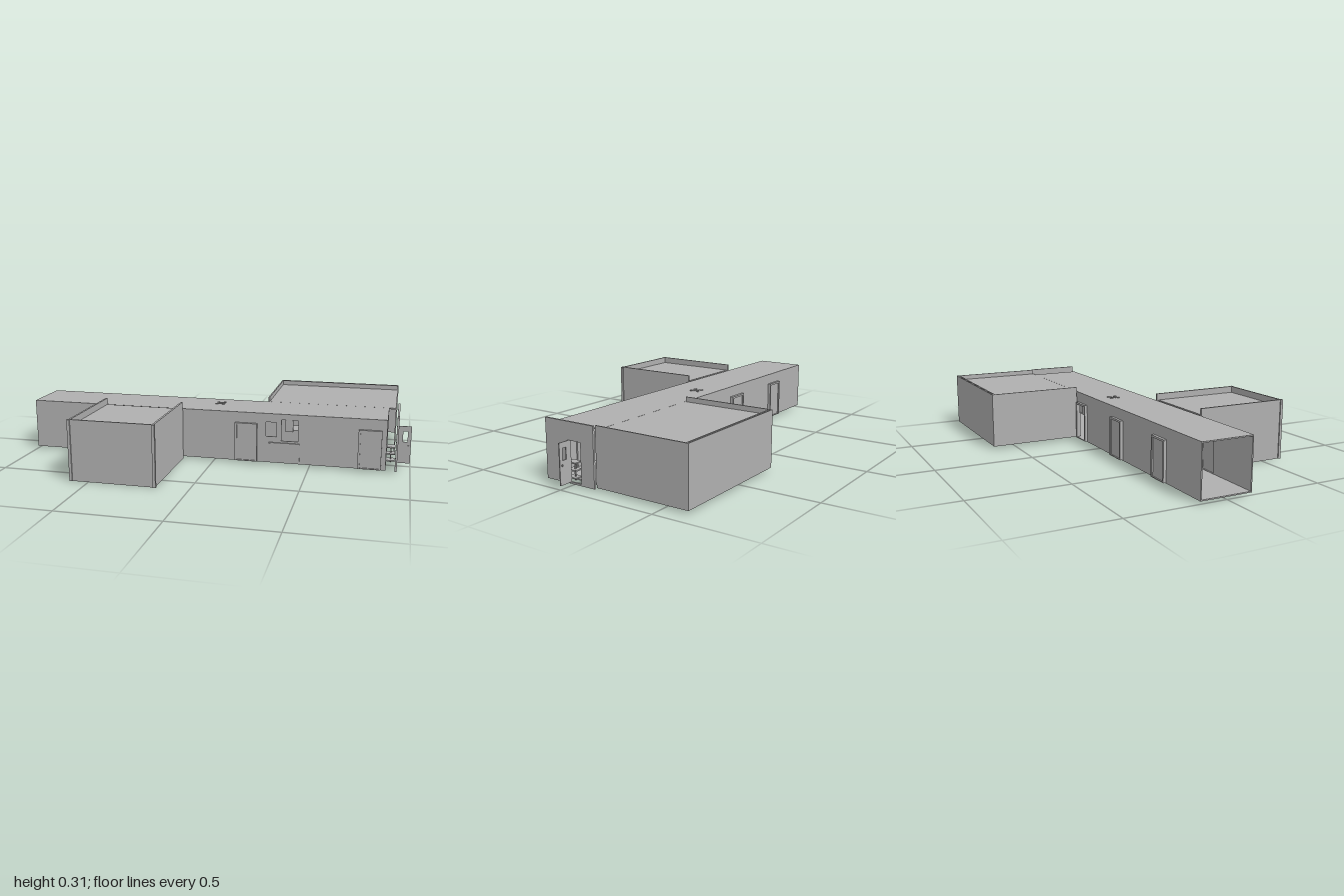
import * as THREE from 'three';

export function createModel() {
  const model = new THREE.Group();
  const grey = new THREE.MeshStandardMaterial({ color: 0xb0b0b0 });
  grey.name = 'plain grey';

  // Box given by its minimum and maximum on each axis
  function box(name, x0, x1, y0, y1, z0, z1) {
    const mesh = new THREE.Mesh(new THREE.BoxGeometry(x1 - x0, y1 - y0, z1 - z0), grey);
    mesh.position.set((x0 + x1) / 2, (y0 + y1) / 2, (z0 + z1) / 2);
    mesh.name = name;
    model.add(mesh);
    return mesh;
  }

  // Upright wall with rectangular openings [x0, x1, y0, y1]
  function wall(name, x0, x1, y0, y1, thickness, openings) {
    const rect = (Type, a, b, c, d) => {
      const p = new Type();
      p.moveTo(a, c);
      p.lineTo(b, c);
      p.lineTo(b, d);
      p.lineTo(a, d);
      p.closePath();
      return p;
    };
    const shape = rect(THREE.Shape, x0, x1, y0, y1);
    openings.forEach((o) => shape.holes.push(rect(THREE.Path, ...o)));
    const geometry = new THREE.ExtrudeGeometry(shape, { depth: thickness, bevelEnabled: false });
    const mesh = new THREE.Mesh(geometry, grey);
    mesh.name = name;
    model.add(mesh);
    return mesh;
  }

  const doorHole = (x) => [x + 0.01, x + 0.105, 0.02, 0.205];

  // Corridor: floor, roof and two long walls, open at both ends
  box('corridorFloor', -1, 0.88, 0.012, 0.018, -0.135, 0.13);
  box('corridorRoof', -1, 0.88, 0.264, 0.27, -0.135, 0.13);
  const frontDoors = [-0.72, -0.3, 0.115, 0.742];
  const backDoors = [-0.72, -0.3, 0.115];
  wall('corridorFrontWall', -1, 0.88, 0.012, 0.27, 0.006, [
    ...frontDoors.map(doorHole),
    [0.275, 0.33, 0.15, 0.225],
    [0.355, 0.44, 0.13, 0.24],
  ]).position.z = 0.124;
  wall('corridorBackWall', -1, 0.88, 0.012, 0.27, 0.006, [
    ...backDoors.map(doorHole),
    [0.34, 0.57, 0.12, 0.22],
    [0.6, 0.83, 0.12, 0.22],
  ]).position.z = -0.135;

  // Door surrounds, with leaves in the closed doorways
  function door(x, z0, z1, closed) {
    box('doorPost', x, x + 0.01, 0.015, 0.215, z0, z1);
    box('doorPost', x + 0.105, x + 0.115, 0.015, 0.215, z0, z1);
    box('doorHead', x + 0.01, x + 0.105, 0.205, 0.215, z0, z1);
    box('doorSill', x + 0.01, x + 0.105, 0.015, 0.02, z0, z1);
    if (closed) {
      const middle = (z0 + z1) / 2;
      box('doorLeaf', x + 0.01, x + 0.105, 0.02, 0.205, middle - 0.004, middle + 0.004);
    }
  }
  frontDoors.forEach((x) => door(x, 0.125, 0.145, x !== -0.3));
  backDoors.forEach((x) => door(x, -0.15, -0.13, x !== 0.115));

  // Service window details on the front wall
  box('serviceWindowApron', 0.3, 0.45, 0.018, 0.118, 0.13, 0.134);
  box('serviceWindowShelf', 0.29, 0.45, 0.115, 0.12, 0.115, 0.138);
  box('windowBlock', 0.375, 0.415, 0.18, 0.24, 0.124, 0.132);

  // Front room: floor and sunken roof, with walls rising past it
  box('frontRoomFloor', -0.59, -0.165, 0, 0.008, 0.14, 0.61);
  box('frontRoomRoof', -0.585, -0.17, 0.266, 0.272, 0.14, 0.605);
  box('frontRoomFrontWall', -0.59, -0.165, 0, 0.305, 0.602, 0.61);
  box('frontRoomRightWall', -0.59, -0.58, 0, 0.305, 0.132, 0.61);
  box('frontRoomLeftWall', -0.175, -0.165, 0, 0.305, 0.132, 0.61);
  for (const x of [-0.588, -0.167]) {
    box('frontRoomCornerPost', x - 0.007, x + 0.007, 0, 0.305, 0.602, 0.616);
  }

  // Back room: no floor, sunken roof, raised walls
  box('backRoomRoof', 0.245, 0.915, 0.264, 0.27, -0.612, -0.136);
  box('backRoomBackWall', 0.24, 0.92, 0.015, 0.295, -0.613, -0.606);
  box('backRoomBackCladding', 0.24, 0.92, 0.015, 0.295, -0.623, -0.617);
  box('backRoomRightWall', 0.24, 0.247, 0.015, 0.295, -0.62, -0.14);
  box('backRoomLeftWall', 0.913, 0.92, 0.015, 0.295, -0.62, -0.14);

  // Long counter in the back room
  box('counterFront', 0.33, 0.86, 0.02, 0.11, -0.235, -0.225);
  box('counterTop', 0.33, 0.86, 0.11, 0.12, -0.235, -0.135);

  // End screen with a doorway and its opened door
  const screen = wall('endScreen', -0.14, 0.14, 0.012, 0.295, 0.01, [[0, 0.065, 0.02, 0.21]]);
  screen.rotation.y = Math.PI / 2;
  screen.position.x = 0.925;
  wall('openDoor', 0.935, 0.998, 0.018, 0.212, 0.005, [[0.957, 0.98, 0.13, 0.185]]).position.z = -0.002;
  box('openDoorHandle', 0.982, 0.99, 0.105, 0.112, -0.008, 0.009);

  // Small fittings in the gap behind the end screen
  for (const y of [0.03, 0.065, 0.1]) {
    box('endFitting', 0.88, 0.922, y, y + 0.006, -0.02, 0.03);
  }
  box('endFittingPost', 0.898, 0.904, 0.018, 0.106, -0.003, 0.003);

  // Roof fixture: two crossbars and four feet
  for (const x of [-0.018, 0.018]) {
    for (const z of [-0.055, -0.015]) {
      box('roofFixtureFoot', x - 0.006, x + 0.006, 0.269, 0.274, z - 0.006, z + 0.006);
    }
  }
  for (const z of [-0.042, -0.028]) {
    box('roofFixtureBar', -0.015, 0.015, 0.269, 0.273, z - 0.002, z + 0.002);
  }

  return model;
}
